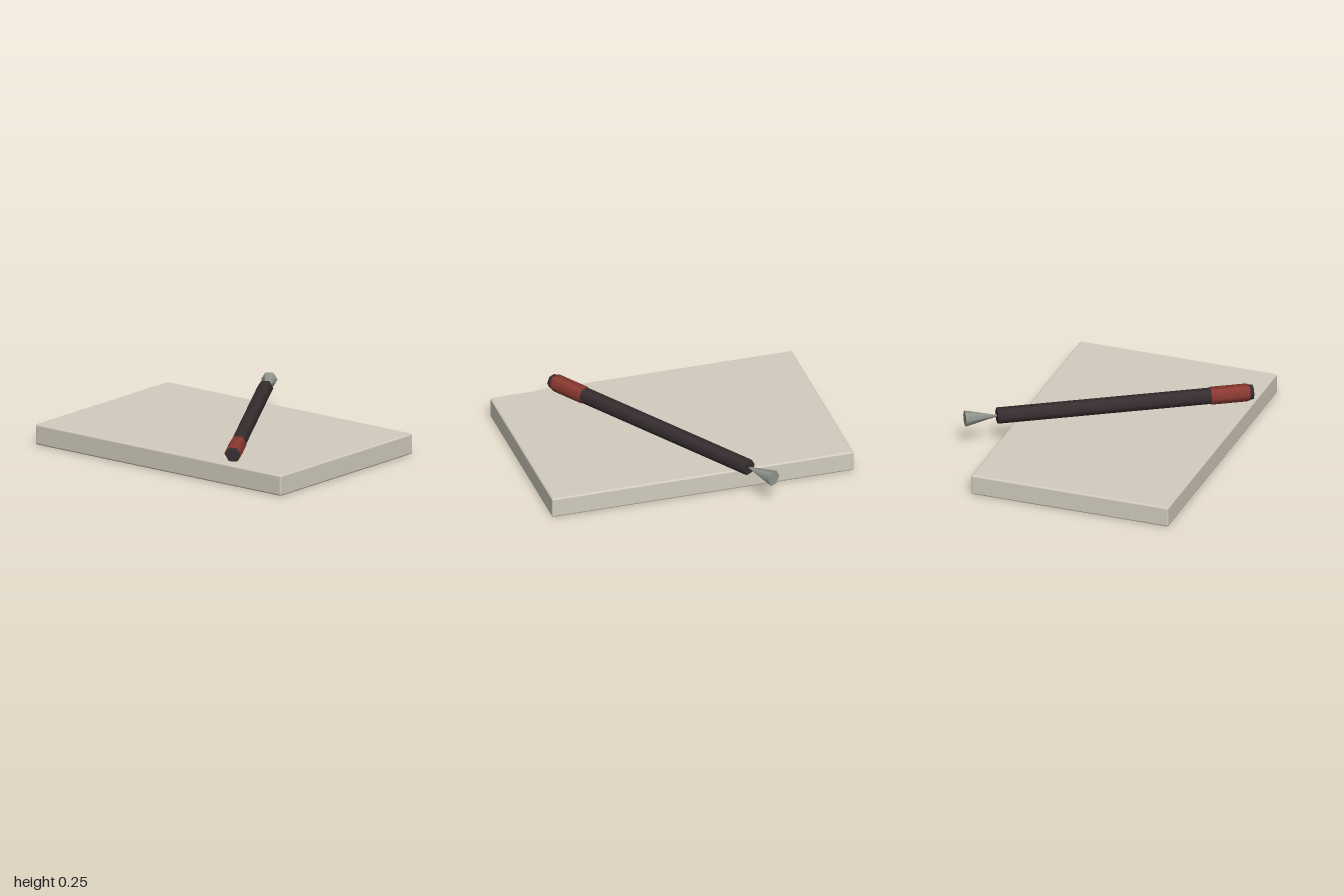
import * as THREE from 'three';
import { RoundedBoxGeometry } from 'three/addons/geometries/RoundedBoxGeometry.js';

const material = (name, color) => {
  const m = new THREE.MeshStandardMaterial({ color });
  m.name = name;
  return m;
};

export function createModel() {
  const paper = material('paper', 0xd2ccbe);
  const black = material('black', 0x372e30);
  const red = material('red', 0x8c3a32);
  const steel = material('steel', 0x949990);

  const model = new THREE.Group();
  model.name = 'padAndPen';

  // Thick pad with slightly softened edges
  const pad = new THREE.Mesh(new RoundedBoxGeometry(1.33, 0.134, 2, 2, 0.012), paper);
  pad.name = 'pad';
  pad.position.set(-0.145, 0.067, 0);
  model.add(pad);

  // Pen lies diagonally across the pad; its local +x runs from tail to nib
  const pen = new THREE.Group();
  pen.name = 'pen';
  pen.position.set(-0.795, 0.197, 0.595);
  pen.rotation.y = 0.555;
  model.add(pen);

  // Six-sided section between two stations, with a radius at each
  const section = (name, from, to, r0, r1, mat) => {
    const geometry = new THREE.CylinderGeometry(r1, r0, to - from, 6);
    geometry.rotateZ(-Math.PI / 2);
    const mesh = new THREE.Mesh(geometry, mat);
    mesh.name = name;
    mesh.position.x = (from + to) / 2;
    pen.add(mesh);
  };

  section('tailCap', 0, 0.04, 0.045, 0.052, black);
  section('gripTaper', 0.025, 0.045, 0.052, 0.057, red);
  section('grip', 0.045, 0.276, 0.057, 0.057, red);
  section('barrel', 0.27, 1.655, 0.052, 0.052, black);
  section('nib', 1.65, 1.862, 0.004, 0.052, steel);

  return model;
}
